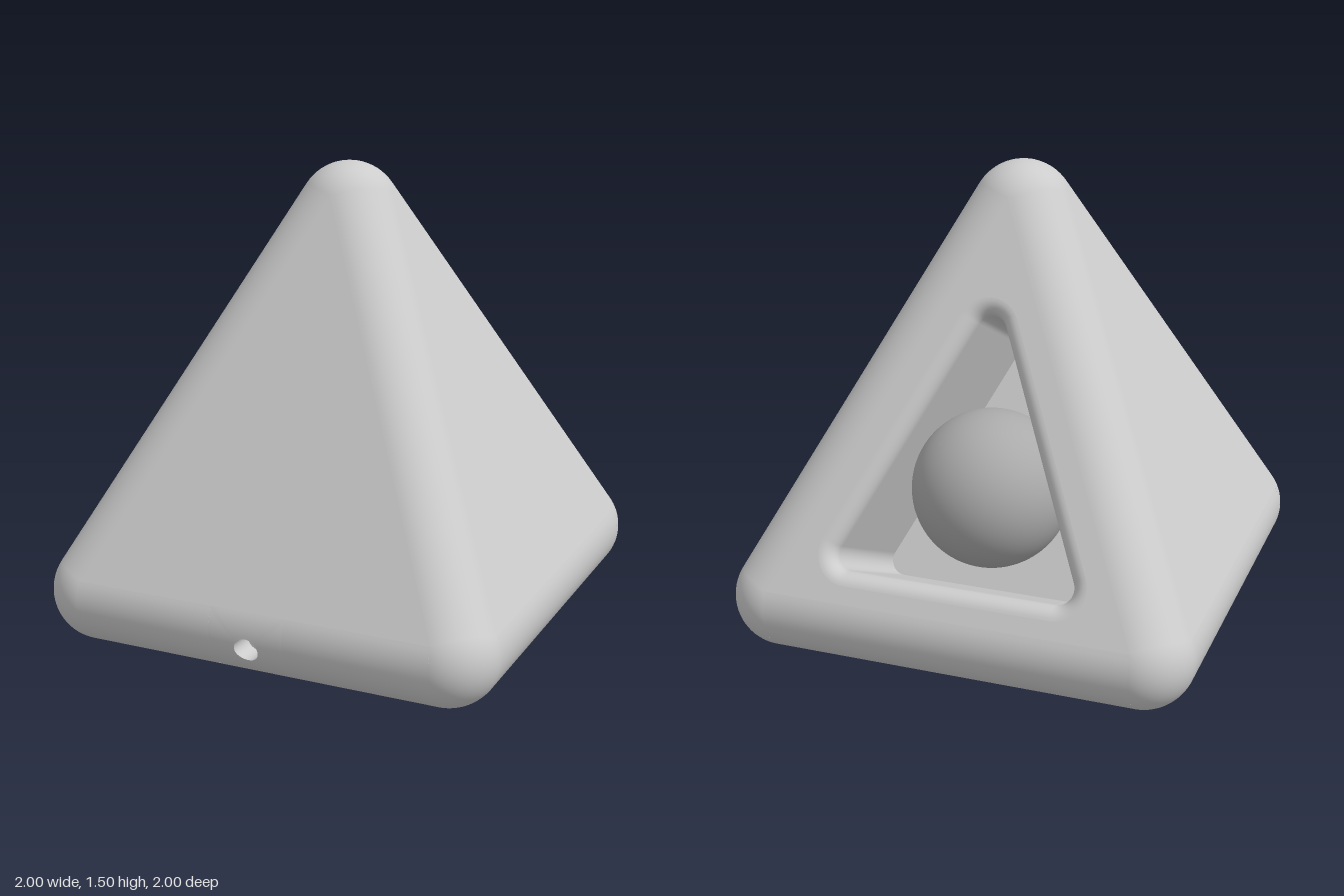
import * as THREE from 'three';

const A = 0.593;            // half width between the corner centres
const R = 0.165;            // edge rounding radius
const H = 1.17;             // height of the apex centre above the corner centres
const SLOPE = Math.hypot(A, H);
const TILT = Math.atan2(A, H);   // upward tilt of the side faces
const V = (x, y, z) => new THREE.Vector3(x, y, z);

const bodyMaterial = new THREE.MeshStandardMaterial({ color: 0xcccccc, side: THREE.DoubleSide });
bodyMaterial.name = 'light grey shell';
const ballMaterial = new THREE.MeshStandardMaterial({ color: 0xaaaaaa });
ballMaterial.name = 'mid grey ball';

function add(parent, name, geometry, material = bodyMaterial) {
  const mesh = new THREE.Mesh(geometry, material);
  mesh.name = name;
  parent.add(mesh);
  return mesh;
}

// Smooth surface through rows of points; closed rows wrap around
function loft(rows, closed = false) {
  const n = rows[0].length;
  const index = [];
  for (let i = 0; i < rows.length - 1; i++) {
    for (let j = 0; j < (closed ? n : n - 1); j++) {
      const k = (j + 1) % n;
      const a = i * n + j, b = i * n + k, c = a + n, d = b + n;
      index.push(a, b, d, a, d, c);
    }
  }
  const geometry = new THREE.BufferGeometry().setFromPoints(rows.flat());
  geometry.setIndex(index);
  geometry.computeVertexNormals();
  return geometry;
}

// Rounded strip along P-Q whose normal turns from n1 to n2
function edgeStrip(P, Q, n1, n2, steps = 20) {
  const total = n1.angleTo(n2);
  const axis = n1.clone().cross(n2).normalize();
  const rows = [];
  for (let i = 0; i <= steps; i++) {
    const n = n1.clone().applyAxisAngle(axis, total * i / steps).multiplyScalar(R);
    rows.push([Q.clone().add(n), P.clone().add(n)]);
  }
  return loft(rows);
}

// Direction in the y-z plane at an elevation angle
const dir = (e) => V(0, Math.sin(e), Math.cos(e));

// Sloping face plane: u across, v up the slope, n outward
const faceMatrix = new THREE.Matrix4()
  .makeBasis(V(1, 0, 0), V(0, Math.cos(TILT), -Math.sin(TILT)), dir(TILT))
  .setPosition(V(0, R, A).add(dir(TILT).multiplyScalar(R)));

// Triangle with corners rounded to a radius
function pocketOutline(radius) {
  const corners = [[0.336, 0.156, -90], [0, 0.899, 24.3], [-0.336, 0.156, 155.7]];
  const sweep = [114.3, 131.4, 114.3];
  const points = [];
  corners.forEach(([u, v, start], c) => {
    for (let i = 0; i <= 12; i++) {
      const t = THREE.MathUtils.degToRad(start + sweep[c] * i / 12);
      points.push(new THREE.Vector2(u + radius * Math.cos(t), v + radius * Math.sin(t)));
    }
  });
  return points;
}

function addPocket(side) {
  const lip = 0.05, depth = 0.5;
  const ring = (radius, d) => pocketOutline(radius).map((p) => V(p.x, p.y, -d));
  const rows = [];
  for (let i = 0; i <= 10; i++) {
    const t = i / 10 * Math.PI / 2;
    rows.push(ring(0.1 - lip * Math.sin(t), lip - lip * Math.cos(t)));
  }
  rows.push(ring(0.05, lip + 0.01), ring(0.05, depth));
  add(side, 'pocketWalls', loft(rows, true).applyMatrix4(faceMatrix));
  const back = new THREE.ShapeGeometry(new THREE.Shape(pocketOutline(0.05)));
  add(side, 'pocketBack', back.translate(0, 0, -depth).applyMatrix4(faceMatrix));
  add(side, 'ball', new THREE.SphereGeometry(0.255, 64, 40), ballMaterial).position.set(0, 0.5, 0.3);
}

// Bottom edge with a small round port in the middle
function addPortEdge(side) {
  const mid = -0.276, half = TILT - mid, w = half * R, hole = 0.04;
  const wrap = (x, s) => dir(mid + s / R).multiplyScalar(R).add(V(x, R, A));
  const N = 64, rows = [];
  for (let i = 0; i <= 10; i++) {
    const row = [];
    for (let j = 0; j < N; j++) {
      const c = Math.cos(j / N * Math.PI * 2), s = Math.sin(j / N * Math.PI * 2);
      const k = THREE.MathUtils.lerp(hole, w / Math.max(Math.abs(c), Math.abs(s)), i / 10);
      row.push(wrap(c * k, s * k));
    }
    rows.push(row);
  }
  add(side, 'portSurround', loft([...rows].reverse(), true));
  const inner = rows[0].map((p) => V(p.x, p.y, 0.66));
  add(side, 'portWall', loft([rows[0], inner], true));
  add(side, 'portBack', new THREE.CircleGeometry(hole, 32)).position.set(0, wrap(0, 0).y, 0.66);
  const low = mid - half;
  for (const s of [-1, 1]) {
    add(side, 'bottomEdge', edgeStrip(V(s < 0 ? -A : w, R, A), V(s < 0 ? -w : A, R, A), dir(low), dir(TILT)));
  }
  add(side, 'bottomEdgeUnderside', edgeStrip(V(-A, R, A), V(A, R, A), dir(-Math.PI / 2), dir(low)));
}

export function createModel() {
  const model = new THREE.Group();
  model.name = 'roundedPyramid';
  const body = new THREE.Group();
  body.name = 'body';
  body.rotation.y = THREE.MathUtils.degToRad(-40);
  model.add(body);

  // Four sides: port on the first, pocket on the third
  for (let i = 0; i < 4; i++) {
    const side = new THREE.Group();
    side.name = 'side' + (i + 1);
    side.rotation.y = i * Math.PI / 2;
    body.add(side);

    const face = new THREE.Shape([[-A, 0], [A, 0], [0, SLOPE]].map((p) => new THREE.Vector2(...p)));
    if (i === 2) {
      face.holes.push(new THREE.Path(pocketOutline(0.1)));
      addPocket(side);
    }
    add(side, 'slopingFace', new THREE.ShapeGeometry(face).applyMatrix4(faceMatrix));

    if (i === 0) addPortEdge(side);
    else add(side, 'bottomEdge', edgeStrip(V(-A, R, A), V(A, R, A), dir(-Math.PI / 2), dir(TILT)));

    const n = dir(TILT);
    add(side, 'slantedEdge', edgeStrip(V(0, R + H, 0), V(A, R, A), n, V(n.z, n.y, 0)));
    const corner = new THREE.SphereGeometry(R, 20, 40, Math.PI / 2, Math.PI / 2);
    add(side, 'bottomCorner', corner).position.set(A, R, A);
  }
  add(body, 'tip', new THREE.SphereGeometry(R, 48, 32)).position.y = R + H;

  // Flat underside with four round recesses
  const base = new THREE.Shape([[-A, -A], [A, -A], [A, A], [-A, A]].map((p) => new THREE.Vector2(...p)));
  const foot = 0.52, footR = 0.05, footDepth = 0.025;
  for (const x of [-foot, foot]) {
    for (const z of [-foot, foot]) {
      base.holes.push(new THREE.Path().absarc(x, z, footR, 0, Math.PI * 2, true));
      const wall = new THREE.CylinderGeometry(footR, footR, footDepth, 32, 1, true);
      add(body, 'footRecessWall', wall).position.set(x, footDepth / 2, z);
      const top = new THREE.CircleGeometry(footR, 32).rotateX(Math.PI / 2);
      add(body, 'footRecessTop', top).position.set(x, footDepth, z);
    }
  }
  add(body, 'underside', new THREE.ShapeGeometry(base, 24).rotateX(Math.PI / 2));
  return model;
}
